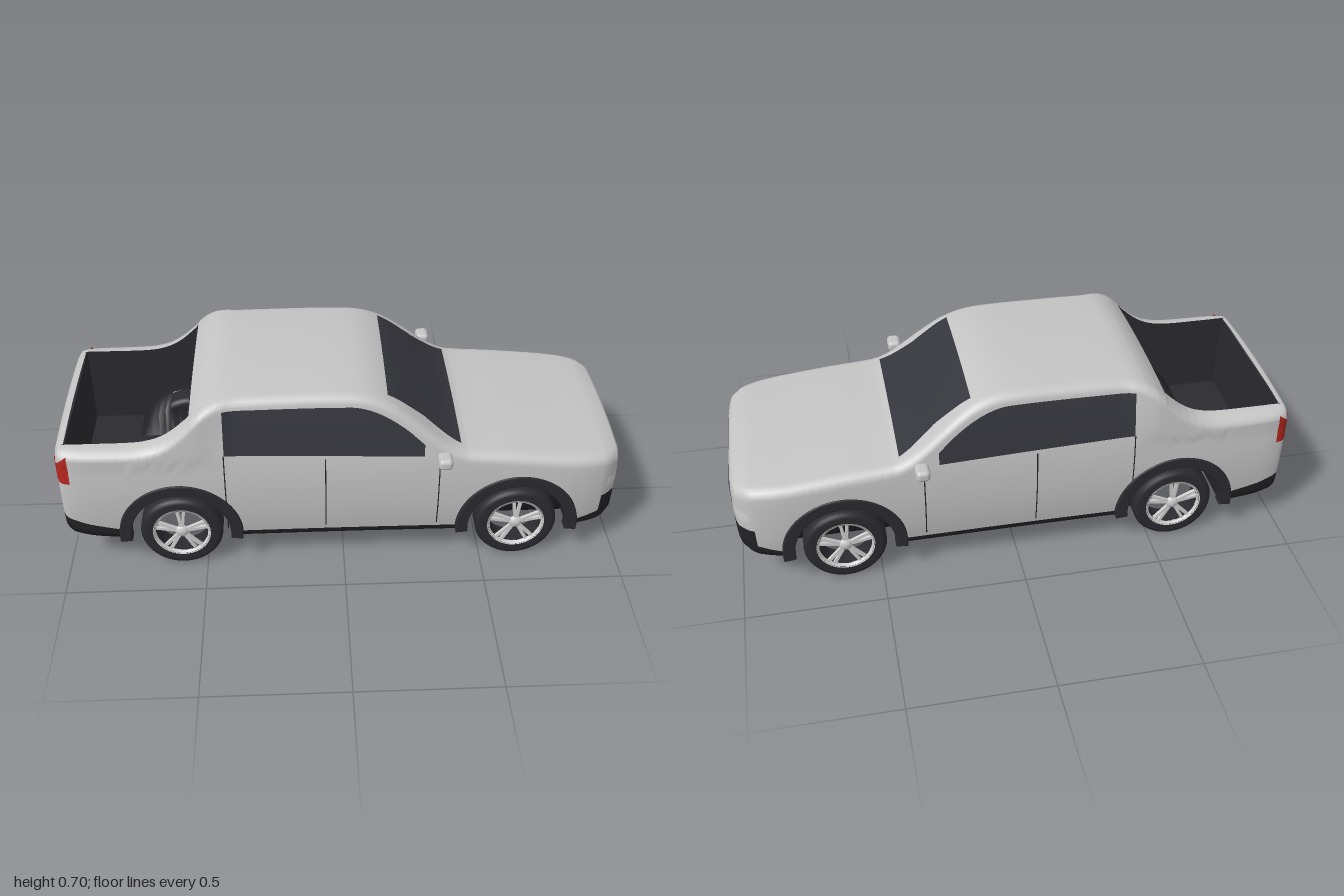
import * as THREE from 'three';
import { RoundedBoxGeometry } from 'three/addons/geometries/RoundedBoxGeometry.js';

const mat = (name, color, side = THREE.DoubleSide) => new THREE.MeshStandardMaterial({ name, color, side });

// piecewise curve through [x, value] pairs, linear or smooth
function curve(pts, smooth = true) {
  const n = pts.length;
  const slope = (i) => {
    const a = pts[Math.max(i - 1, 0)], b = pts[Math.min(i + 1, n - 1)];
    return (b[1] - a[1]) / (b[0] - a[0]);
  };
  return (x) => {
    if (x <= pts[0][0]) return pts[0][1];
    if (x >= pts[n - 1][0]) return pts[n - 1][1];
    let i = 0;
    while (x > pts[i + 1][0]) i++;
    const [x0, a] = pts[i], [x1, b] = pts[i + 1], h = x1 - x0, t = (x - x0) / h;
    if (!smooth) return a + (b - a) * t;
    const t2 = t * t, t3 = t2 * t;
    return (2 * t3 - 3 * t2 + 1) * a + (t3 - 2 * t2 + t) * h * slope(i) + (3 * t2 - 2 * t3) * b + (t3 - t2) * h * slope(i + 1);
  };
}

// indexed surface from point(i, j); skip(i, j) leaves a hole
function grid(nu, nv, point, skip = () => false) {
  const pos = [], idx = [];
  for (let i = 0; i <= nu; i++) for (let j = 0; j <= nv; j++) pos.push(...point(i, j));
  for (let i = 0; i < nu; i++) for (let j = 0; j < nv; j++) {
    if (skip(i, j)) continue;
    const a = i * (nv + 1) + j, b = a + nv + 1;
    idx.push(a, b, b + 1, a, b + 1, a + 1);
  }
  const g = new THREE.BufferGeometry();
  g.setAttribute('position', new THREE.Float32BufferAttribute(pos, 3));
  g.setIndex(idx);
  g.computeVertexNormals();
  return g;
}

// body rules along x
const roofY = curve([[-1, 0.505], [-0.985, 0.52], [-0.9, 0.522], [-0.72, 0.525], [-0.65, 0.54], [-0.6, 0.567], [-0.55, 0.61],
  [-0.5, 0.658], [-0.45, 0.687], [-0.39, 0.698], [-0.2, 0.703], [0, 0.703], [0.09, 0.693], [0.17, 0.66], [0.25, 0.602],
  [0.32, 0.545], [0.38, 0.502], [0.43, 0.482], [0.6, 0.467], [0.8, 0.447], [0.93, 0.435], [0.975, 0.425], [0.992, 0.412], [1, 0.39]]);
const halfWidth = curve([[-1, 0.325], [-0.99, 0.343], [-0.97, 0.355], [-0.9, 0.365], [-0.6, 0.37], [0, 0.367], [0.6, 0.37],
  [0.8, 0.368], [0.88, 0.358], [0.93, 0.343], [0.96, 0.325], [0.98, 0.302], [0.992, 0.272], [1, 0.225]]);
const bellyY = curve([[-1, 0.175], [-0.97, 0.15], [-0.9, 0.13], [-0.78, 0.115], [0.8, 0.115], [0.93, 0.132], [0.97, 0.15], [0.99, 0.172], [1, 0.2]], false);
const trimY = curve([[-1, 0.225], [-0.9, 0.19], [-0.78, 0.16], [-0.7, 0.14], [0.82, 0.14], [0.929, 0.175], [0.931, 0.25], [1, 0.25]], false);
const sideShape = curve([[0.1, 0.91], [0.15, 0.955], [0.22, 0.985], [0.32, 1], [0.42, 0.99], [0.48, 0.97], [0.55, 0.935], [0.65, 0.873], [0.7, 0.83]]);
const lean = curve([[-0.5, 0.35], [-0.38, 1]], false);
const WHEELS = [-0.585, 0.625], WHEEL_R = 0.148, ARCH_R = 0.19, CROWN = 0.012;
const BED = [-0.97, -0.53], BED_FLOOR = 0.2, inBed = (x) => x >= BED[0] - 1e-6 && x <= BED[1] + 1e-6;

function archY(x) {
  let y = bellyY(x);
  for (const c of WHEELS) {
    const d = ARCH_R ** 2 - (x - c) ** 2;
    if (d > 1e-9) y = Math.max(y, WHEEL_R + Math.sqrt(d));
  }
  return y;
}
function sideZ(x, y) {
  const f = sideShape(y);
  return halfWidth(x) * (y > 0.45 ? 1 + (f - 1) * lean(x) : f);
}
const shoulderY = (x) => roofY(x) - 0.05;
const topEdgeZ = (x) => (inBed(x) ? 0.3 : sideZ(x, shoulderY(x)) - 0.045);
const topY = (x, z) => roofY(x) - CROWN * (z / topEdgeZ(x)) ** 2;

const mirrored = (half) => [...half, ...half.slice(0, -1).reverse().map(([y, z]) => [y, -z])];
// painted upper section, as [y, z] from the trim line over the roof
function upperSection(x) {
  const y0 = Math.max(trimY(x), archY(x)), y1 = shoulderY(x), z1 = sideZ(x, y1), z2 = topEdgeZ(x), half = [];
  for (let i = 0; i < 9; i++) { const y = y0 + (y1 - y0) * i / 9; half.push([y, sideZ(x, y)]); }
  for (let i = 0; i <= 6; i++) {
    const a = i / 6 * Math.PI / 2;
    half.push([y1 + (roofY(x) - CROWN - y1) * Math.sin(a), z2 + (z1 - z2) * Math.cos(a)]);
  }
  for (let i = 1; i <= 5; i++) half.push([topY(x, z2 * (1 - i / 5)), z2 * (1 - i / 5)]);
  return mirrored(half);
}
// dark lower section: trim, wheel well and floor
function lowerSection(x) {
  const ys = archY(x), yt = Math.max(trimY(x), ys), yb = bellyY(x), zin = x < 0 ? 0.16 : 0.25;
  const zs = sideZ(x, ys), m = (ys + yt) / 2;
  return mirrored([[yt, sideZ(x, yt)], [m, sideZ(x, m)], [ys, zs], [ys, Math.min(0.28, zs)], [ys, Math.min(zin, zs)], [yb, Math.min(zin, zs)], [yb, 0]]);
}
const xs = [-0.99, -0.985, -0.65, ...BED, 0.929, 0.931, 0.98, 0.985, 0.992, 0.996, 1];
for (let x = -1; x < 0.99; x += 0.03) xs.push(x);
for (const c of WHEELS) for (let i = 0; i <= 20; i++) xs.push(c + ARCH_R * Math.cos(i / 20 * Math.PI));
for (const c of WHEELS) xs.push(c - ARCH_R - 0.001, c + ARCH_R + 0.001);
const stations = xs.sort((a, b) => a - b).filter((x, i, a) => i === 0 || x - a[i - 1] > 0.0005);

export function createModel() {
  const truck = new THREE.Group();
  const paint = mat('silver paint', 0xc4c4c4), trim = mat('black trim', 0x242428), glass = mat('dark glass', 0x35353d);
  const rubber = mat('tyre rubber', 0x2b2b30), metal = mat('wheel metal', 0xcfcfcf), red = mat('red lamp', 0xb3261e);
  const add = (name, geo, material, parent = truck) => {
    const m = new THREE.Mesh(geo, material);
    m.name = name;
    parent.add(m);
    return m;
  };
  const box = (name, w, h, d, x, y, z, m) => add(name, new THREE.BoxGeometry(w, h, d), m).position.set(x, y, z);

  // body shells and their end caps
  const mid = (i) => (stations[i] + stations[i + 1]) / 2;
  const shell = (name, section, m, skip) => {
    const rows = stations.map(section), n = rows[0].length - 1;
    add(name, grid(rows.length - 1, n, (i, j) => [stations[i], ...rows[i][j]], (i, j) => skip(mid(i), j, n)), m);
    for (const e of [0, rows.length - 1])
      add(name + 'End', grid(n, 1, (i, j) => [stations[e], rows[e][i][0], rows[e][i][1] * j]), m);
  };
  shell('body', upperSection, paint, (x, j, n) => inBed(x) && j >= 15 && j < n - 15);
  shell('underbody', lowerSection, trim, (x, j, n) => x > -0.65 && x < -0.53 && (j === 3 || j === n - 4));

  // cargo bed lining
  const [b0, b1] = BED;
  for (const s of [1, -1])
    add('bedSide', grid(40, 1, (i, j) => {
      const x = b0 + (b1 - b0) * i / 40;
      return [x, j ? topY(x, 0.3) : Math.max(BED_FLOOR, archY(x)), s * 0.3];
    }), rubber);
  const rearTop = roofY(b0) - CROWN, cabTop = roofY(b1) - CROWN;
  box('bedTailWall', 0.008, rearTop - BED_FLOOR, 0.6, b0, (rearTop + BED_FLOOR) / 2, 0, rubber);
  box('bedFrontWall', 0.008, cabTop - 0.33, 0.6, b1, (cabTop + 0.33) / 2, 0, rubber);
  box('bedFrontWallLower', 0.008, 0.13, 0.32, b1, 0.265, 0, rubber);
  box('bedFloorRear', 0.195, 0.008, 0.6, -0.8725, BED_FLOOR, 0, rubber);
  box('bedFloorMiddle', 0.245, 0.008, 0.32, -0.6525, BED_FLOOR, 0, rubber);

  // thin panels following the body sides
  const sidePatch = (name, x0, x1, low, high, m, lift = 0.003, nx = 28) => {
    for (const s of [1, -1])
      add(name, grid(nx, 8, (i, j) => {
        const x = x0 + (x1 - x0) * i / nx, y = low(x) + (high(x) - low(x)) * j / 8;
        return [x, y, s * (sideZ(x, y) + lift)];
      }), m);
  };
  const flat = (v) => () => v;
  const windowTop = curve([[-0.415, 0.652], [0.03, 0.652], [0.09, 0.64], [0.15, 0.613], [0.22, 0.565], [0.28, 0.51]]);
  sidePatch('sideWindow', -0.415, 0.28, curve([[-0.415, 0.488], [0.28, 0.465]], false), windowTop, glass);
  for (const x of [-0.417, -0.065, 0.335]) sidePatch('doorGap', x - 0.002, x + 0.002, flat(0.16), flat(x < -0.4 ? 0.488 : 0.462), trim, 0.002, 1);
  sidePatch('tailLampSide', -0.999, -0.955, flat(0.38), curve([[-1, 0.45], [-0.99, 0.465], [-0.955, 0.497]]), red);
  sidePatch('headlamp', 0.945, 0.996, flat(0.29), flat(0.33), metal, 0.002, 12);

  // windscreen
  const screenHalf = curve([[0.15, 0.268], [0.28, 0.27], [0.41, 0.31]], false);
  add('windscreen', grid(20, 12, (i, j) => {
    const x = 0.15 + 0.26 * i / 20, z = Math.min(screenHalf(x), topEdgeZ(x) + 0.01) * (j / 6 - 1);
    return [x + 0.003, topY(x, z) + 0.004, z];
  }), glass);

  // nose and tail details
  box('grille', 0.008, 0.08, 0.4, 1, 0.325, 0, glass);
  box('frontPlate', 0.006, 0.042, 0.16, 1.003, 0.276, 0, paint);
  box('rearPlate', 0.006, 0.045, 0.16, -1.001, 0.255, 0, metal);
  for (const s of [1, -1]) box('tailLampRear', 0.006, 0.095, 0.06, -1, 0.4275, s * 0.288, red);

  // door mirrors
  for (const s of [1, -1]) {
    add('mirror', new RoundedBoxGeometry(0.05, 0.042, 0.068, 4, 0.016), paint).position.set(0.345, 0.481, s * 0.411);
    box('mirrorArm', 0.02, 0.014, 0.05, 0.345, 0.468, s * 0.365, rubber);
  }

  // wheels and arch flares
  const flareShape = new THREE.Shape();
  flareShape.absarc(0, 0, 0.217, -0.1, Math.PI + 0.1, false);
  flareShape.absarc(0, 0, 0.182, Math.PI + 0.1, -0.1, true);
  const flareGeo = new THREE.ExtrudeGeometry(flareShape, { depth: 0.04, bevelSize: 0.004, bevelThickness: 0.004, bevelSegments: 2, curveSegments: 32 });
  const lathe = (pts) => new THREE.LatheGeometry(pts.map(([r, y]) => new THREE.Vector2(r, y)), 40).rotateX(Math.PI / 2);
  const tyreGeo = lathe([[0.1, -0.045], [0.128, -0.046], [0.141, -0.042], [0.148, -0.03], [0.148, 0.03], [0.141, 0.042], [0.128, 0.046], [0.1, 0.045]]);
  const barrelGeo = lathe([[0.1, -0.045], [0.094, -0.03], [0.094, 0.034]]);
  const rimGeo = lathe([[0.094, 0.032], [0.094, 0.043], [0.104, 0.046]]);
  for (const x of WHEELS) for (const s of [1, -1]) {
    const wheel = new THREE.Group();
    wheel.name = x > 0 ? 'frontWheel' : 'rearWheel';
    wheel.position.set(x, WHEEL_R, s * 0.315);
    if (s < 0) wheel.rotation.y = Math.PI;
    add('tyre', tyreGeo, rubber, wheel);
    add('rimBarrel', barrelGeo, rubber, wheel);
    add('rim', rimGeo, metal, wheel);
    add('hub', new THREE.SphereGeometry(0.024, 20, 12).scale(1, 1, 0.6), metal, wheel).position.z = 0.034;
    for (let k = 0; k < 5; k++) for (const t of [-1, 1]) {
      const g = new THREE.BoxGeometry(0.011, 0.086, 0.012).translate(0, 0.053, 0.034).rotateZ(t * 0.13 + k * Math.PI * 0.4);
      add('spoke', g, metal, wheel);
    }
    truck.add(wheel);
    add('archFlare', flareGeo, rubber).position.set(x, WHEEL_R, s > 0 ? 0.332 : -0.372);
  }
  return truck;
}
